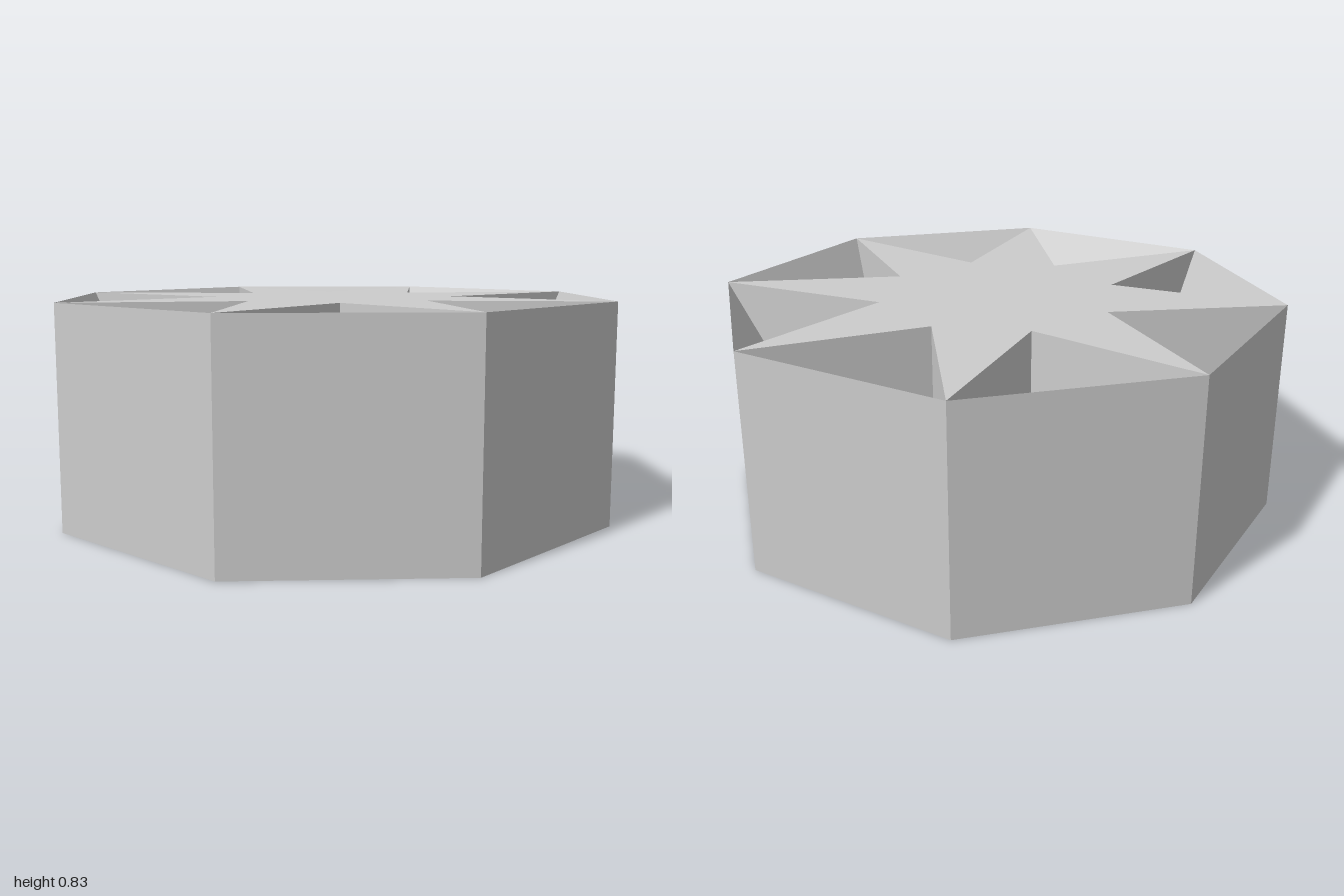
import * as THREE from 'three';

const SIDES = 8;
const APOTHEM = 1;                              // centre to middle of an outer wall
const HALF = Math.tan(Math.PI / SIDES);         // half the width of a wall
const HEIGHT = 2 * HALF;                        // the outer walls are square
const NOTCH = 0.46;                             // centre to inner corner of the star
const RIDGE = 0.79;                             // centre to inner ridge of the rim

// Mesh from quads and triangles, repeated around the vertical axis
function ring(name, faces, material) {
  const pos = [];
  for (let i = 0; i < SIDES; i++) {
    const turn = (i * 2 * Math.PI) / SIDES;
    for (const f of faces) {
      for (let k = 1; k < f.length - 1; k++) {
        for (const p of [f[0], f[k], f[k + 1]]) {
          pos.push(...new THREE.Vector3(...p).applyAxisAngle(new THREE.Vector3(0, 1, 0), turn).toArray());
        }
      }
    }
  }
  const geometry = new THREE.BufferGeometry();
  geometry.setAttribute('position', new THREE.Float32BufferAttribute(pos, 3));
  geometry.computeVertexNormals();
  const mesh = new THREE.Mesh(geometry, material);
  mesh.name = name;
  return mesh;
}

export function createModel() {
  const group = new THREE.Group();
  group.name = 'starPrism';
  const grey = new THREE.MeshStandardMaterial({ color: 0xcccccc });
  grey.name = 'light grey';

  // Corners of the front segment
  const ridgeHalf = HALF * (RIDGE - NOTCH) / (APOTHEM - NOTCH);
  const corner = (side, y) => [side * HALF, y, APOTHEM];
  const ridge = (side) => [side * ridgeHalf, HEIGHT / 2, RIDGE];
  const notch = (y) => [0, y, NOTCH];
  const lt = corner(-1, HEIGHT), rt = corner(1, HEIGHT);
  const lb = corner(-1, 0), rb = corner(1, 0);
  const lr = ridge(-1), rr = ridge(1), nt = notch(HEIGHT), nb = notch(0);

  // Square outer walls
  group.add(ring('outerWalls', [[lb, rb, rt, lt]], grey));

  // Inner rim, sloping in to a ridge at mid height
  group.add(ring('innerRim', [[lt, rt, rr, lr], [lr, rr, rb, lb]], grey));

  // Upright sides of the notches, meeting the rim at its ridge
  group.add(ring('notchWalls', [
    [lr, nb, nt, lt], [lr, lb, nb],
    [rr, rt, nt, nb], [rr, nb, rb],
  ], grey));

  // Eight-pointed star on top and bottom
  const points = [];
  for (let i = 0; i < 2 * SIDES; i++) {
    const a = (i * Math.PI) / SIDES;
    const r = i % 2 ? Math.hypot(APOTHEM, HALF) : NOTCH;
    points.push(new THREE.Vector2(r * Math.cos(a), r * Math.sin(a)));
  }
  const starGeometry = new THREE.ShapeGeometry(new THREE.Shape(points));
  for (const [name, y, tilt] of [['topStar', HEIGHT, -1], ['bottomStar', 0, 1]]) {
    const star = new THREE.Mesh(starGeometry, grey);
    star.name = name;
    star.rotation.x = (tilt * Math.PI) / 2;
    star.position.y = y;
    group.add(star);
  }
  return group;
}
